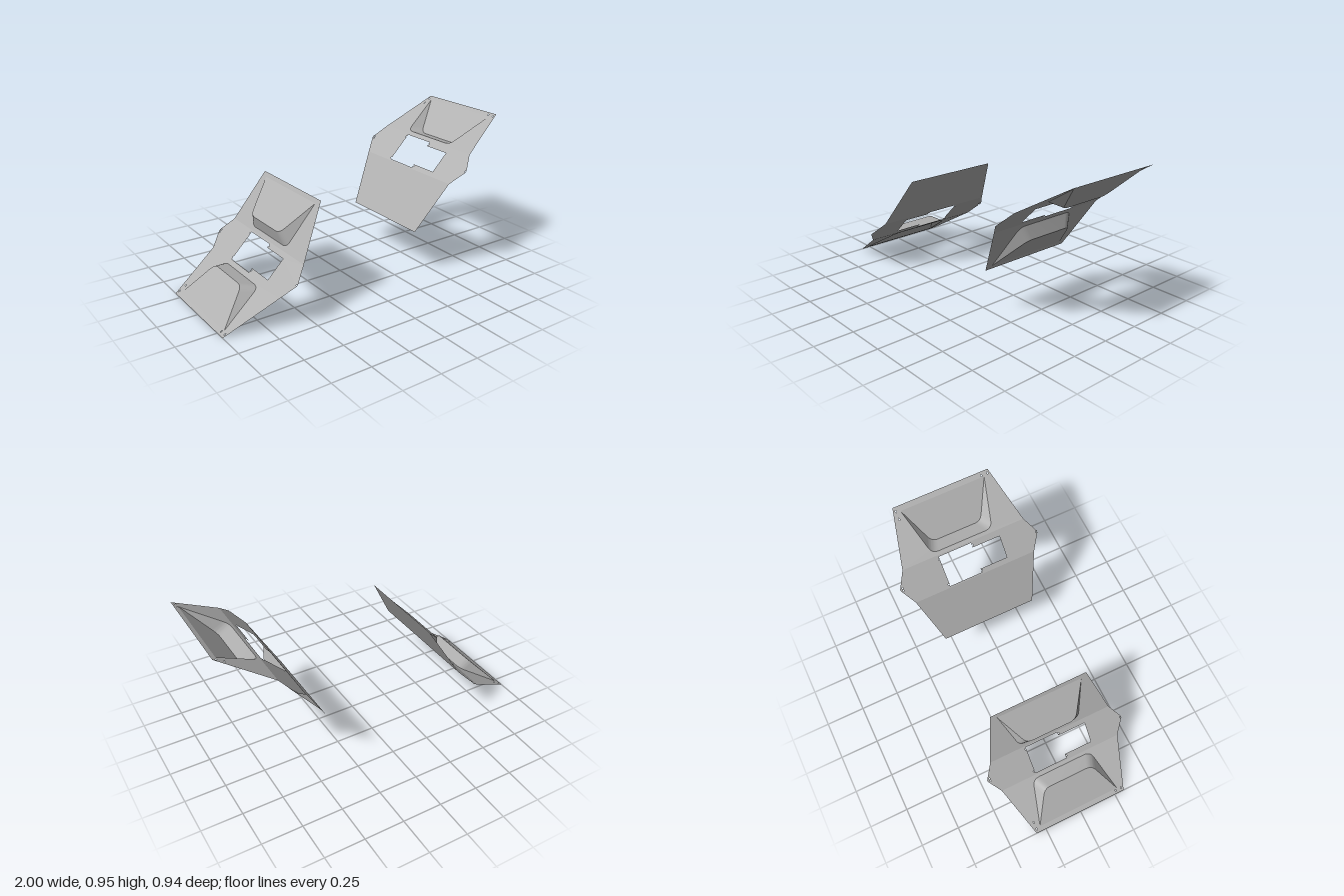
import * as THREE from 'three';
import { toCreasedNormals } from 'three/addons/utils/BufferGeometryUtils.js';

// Shapes are drawn in (z, y); each sheet is then tilted by giving x as a linear function of y.
const slope = ([x0, y0], [x1, y1]) => y => x0 + (x1 - x0) * (y - y0) / (y1 - y0);

function tiltedSheet(shape, xOf) {
  const g = new THREE.ShapeGeometry(shape, 8);
  const p = g.attributes.position;
  for (let i = 0; i < p.count; i++) {
    const z = p.getX(i), y = p.getY(i);
    p.setXYZ(i, xOf(y), y, z);
  }
  g.computeVertexNormals();
  return g;
}

const outline = pts => new THREE.Shape(pts.map(([z, y]) => new THREE.Vector2(z, y)));

function drill(shape, centres) {
  for (const [z, y] of centres) {
    shape.holes.push(new THREE.Path().absarc(z, y, 0.004, 0, Math.PI * 2, true));
  }
}

// Open trapezoid from hinge corner to hinge corner, with two rounded far corners
function trapezoid(hingeY, farY, farZ, start, inset) {
  const z = THREE.MathUtils.lerp(0.278, farZ, start);
  const y = THREE.MathUtils.lerp(hingeY, farY, start);
  const path = new THREE.Path();
  path.moveTo(0.278, hingeY);
  path.lineTo(z, y);
  path.quadraticCurveTo(farZ, farY, farZ - inset, farY);
  path.lineTo(inset - farZ, farY);
  path.quadraticCurveTo(-farZ, farY, -z, y);
  path.lineTo(-0.278, hingeY);
  return path.getPoints(8);
}

// Strip joining the opening in the sheet to the edge of the pocket floor
function wallStrip(a, b, xA, xB) {
  const pos = [];
  const put = (p, xOf) => pos.push(xOf(p.y), p.y, p.x);
  for (let i = 0; i < a.length - 1; i++) {
    if (i > 0) { put(a[i], xA); put(b[i], xB); put(b[i + 1], xB); }
    if (i === 0) { put(a[0], xA); put(b[1], xB); put(a[1], xA); }
    else if (i < a.length - 2) { put(a[i], xA); put(b[i + 1], xB); put(a[i + 1], xA); }
    else { put(a[i], xA); put(b[i], xB); put(a[i + 1], xA); pos.splice(-18, 9); }
  }
  const g = new THREE.BufferGeometry();
  g.setAttribute('position', new THREE.Float32BufferAttribute(pos, 3));
  return toCreasedNormals(g, 0.5);
}

export function createModel() {
  const grey = new THREE.MeshStandardMaterial({ color: 0xb0b0b0, side: THREE.DoubleSide });
  grey.name = 'sheet grey';

  function add(group, name, geometry) {
    const m = new THREE.Mesh(geometry, grey);
    m.name = name;
    group.add(m);
  }

  // Folded profile in (x, y)
  const low = [0.35, 0.295], foldLow = [0.53, 0.605], foldHigh = [0.69, 0.765], high = [1, 0.955];

  // End flap with a hinged pocket pressed out of it
  function addFlap(group, name, edge, fold, hingeY, openY, apex, holes) {
    const sheetX = slope(edge, fold);
    const floorX = slope([sheetX(hingeY), hingeY], apex);
    const opening = trapezoid(hingeY, openY, 0.202, 0.86, 0.045);
    const floor = trapezoid(hingeY, apex[1], 0.165, 0.84, 0.038);
    const s = outline([[-0.315, edge[1]], [0.315, edge[1]], [0.41, fold[1]], [-0.41, fold[1]]]);
    s.holes.push(new THREE.Path(opening));
    drill(s, holes);
    add(group, name + 'Flap', tiltedSheet(s, sheetX));
    add(group, name + 'PocketFloor', tiltedSheet(new THREE.Shape(floor), floorX));
    add(group, name + 'PocketWall', wallStrip(opening, floor, sheetX, floorX));
  }

  function makePanel(name) {
    const g = new THREE.Group();
    g.name = name;
    addFlap(g, 'lower', low, foldLow, 0.32, 0.581, [0.54, 0.498],
      [[0.305, 0.312], [0.264, 0.312], [-0.305, 0.314], [-0.305, 0.355]]);
    addFlap(g, 'upper', high, foldHigh, 0.937, 0.777, [0.797, 0.757],
      [[0.305, 0.943], [0.264, 0.943], [-0.305, 0.941], [-0.305, 0.915]]);

    // Middle web with rounded side tips and a stepped window
    const s = new THREE.Shape();
    s.moveTo(-0.41, 0.605);
    s.lineTo(0.41, 0.605);
    s.lineTo(0.464, 0.675);
    s.quadraticCurveTo(0.475, 0.685, 0.464, 0.695);
    s.lineTo(0.41, 0.765);
    s.lineTo(-0.41, 0.765);
    s.lineTo(-0.464, 0.695);
    s.quadraticCurveTo(-0.475, 0.685, -0.464, 0.675);
    s.closePath();
    s.holes.push(outline([[0.23, 0.63], [0.23, 0.735], [0.046, 0.735], [0.046, 0.757],
      [-0.172, 0.757], [-0.172, 0.612], [0.046, 0.612], [0.046, 0.63]]));
    drill(s, [[0.462, 0.685], [-0.452, 0.691], [-0.452, 0.679],
      [0.052, 0.745], [-0.178, 0.745], [0.052, 0.621], [-0.178, 0.621]]);
    add(g, 'middleWeb', tiltedSheet(s, slope(foldLow, foldHigh)));
    return g;
  }

  const model = new THREE.Group();
  model.name = 'foldedPanels';
  const left = makePanel('leftPanel');
  const right = makePanel('rightPanel');
  // Second panel is the first turned half a turn about the z axis
  right.rotation.z = Math.PI;
  right.position.y = 0.955;
  model.add(left, right);
  return model;
}
